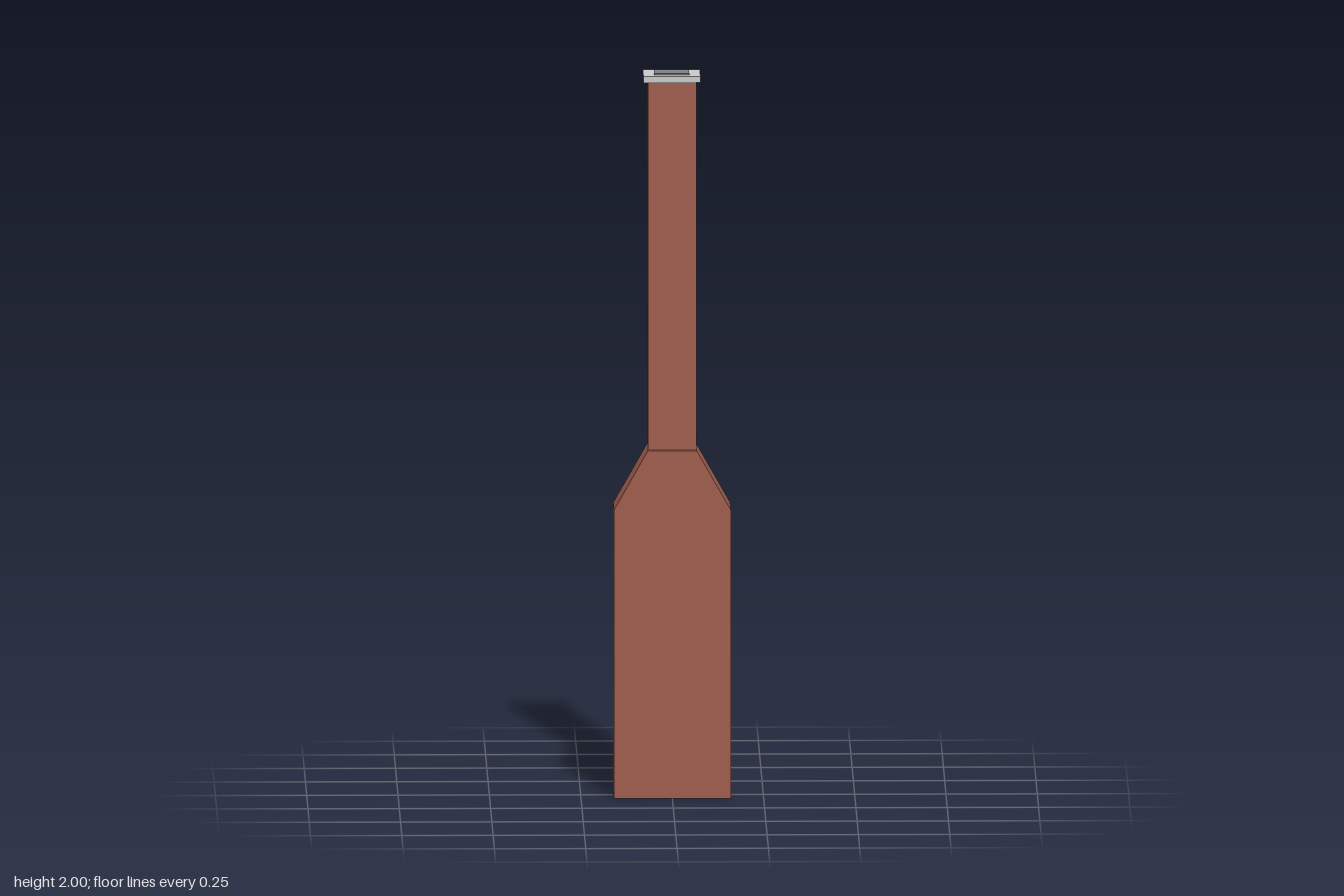
import * as THREE from 'three';

export function createModel() {
  const brick = new THREE.MeshStandardMaterial({ name: 'brick', color: 0xa05e4e });
  const stone = new THREE.MeshStandardMaterial({ name: 'pale stone', color: 0xcacbcb });
  const flueGrey = new THREE.MeshStandardMaterial({ name: 'flue grey', color: 0x828285 });

  const model = new THREE.Group();
  model.name = 'chimney';

  const add = (name, geometry, material) => {
    const mesh = new THREE.Mesh(geometry, material);
    mesh.name = name;
    model.add(mesh);
    return mesh;
  };

  // Box given by its limits on each axis
  const block = (name, [x0, x1], [y0, y1], [z0, z1], material) =>
    add(name, new THREE.BoxGeometry(x1 - x0, y1 - y0, z1 - z0), material)
      .position.set((x0 + x1) / 2, (y0 + y1) / 2, (z0 + z1) / 2);

  // Wide base with sloped shoulders
  const outline = new THREE.Shape([
    [-0.16, 0], [0.16, 0], [0.16, 0.798], [0.067, 0.962], [-0.067, 0.962], [-0.16, 0.798],
  ].map(([x, y]) => new THREE.Vector2(x, y)));
  const base = new THREE.ExtrudeGeometry(outline, { depth: 0.142, bevelEnabled: false });
  base.translate(0, 0, -0.071);
  add('base', base, brick);

  // Narrow stack, set slightly towards the back
  block('stack', [-0.067, 0.066], [0.96, 1.98], [-0.061, 0.052], brick);

  // Overhanging cap and the flue opening on it
  block('cap', [-0.079, 0.077], [1.979, 1.996], [-0.072, 0.061], stone);
  block('flue', [-0.049, 0.047], [1.994, 2], [-0.044, 0.032], flueGrey);

  return model;
}
